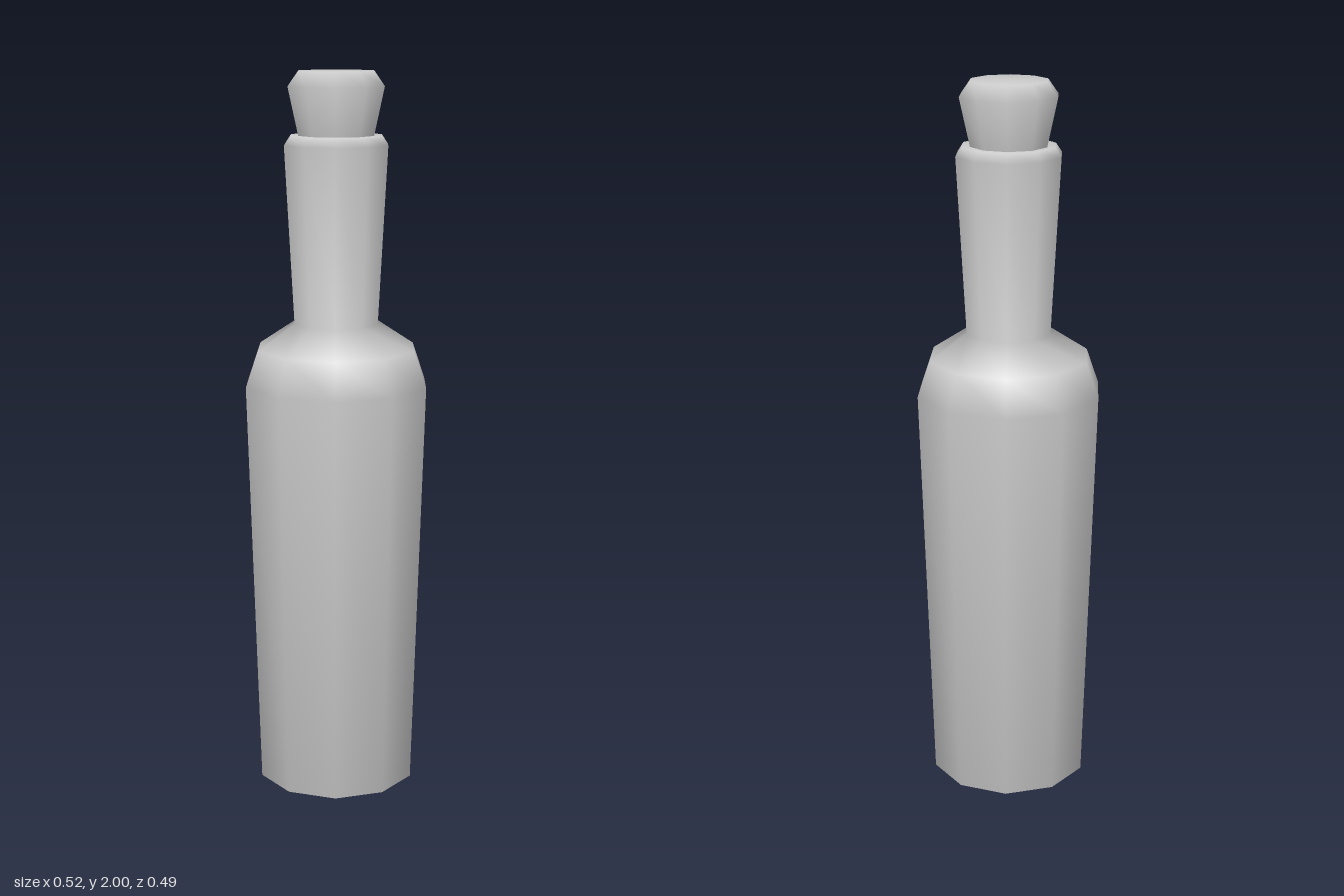
import * as THREE from 'three';

const SIDES = 10;

// Ten-sided smooth turned part from a bottom-to-top [radius, height] profile
function turned(name, profile, material) {
  const points = profile.map(([r, y]) => new THREE.Vector2(r, y));
  const mesh = new THREE.Mesh(new THREE.LatheGeometry(points, SIDES, Math.PI / 2), material);
  mesh.name = name;
  return mesh;
}

export function createModel() {
  const group = new THREE.Group();
  group.name = 'corkedBottle';
  const material = new THREE.MeshStandardMaterial({ color: 0xcccccc });

  // Bottle: base, tapered body, shoulder, flaring neck and chamfered lip
  group.add(turned('bottle', [
    [0, 0], [0.225, 0], [0.26, 1.15], [0.225, 1.25],
    [0.12, 1.32], [0.147, 1.805], [0.13, 1.83], [0.09, 1.83],
  ], material));

  // Stopper: flares upward, with a chamfered top
  group.add(turned('stopper', [
    [0.1, 1.79], [0.107, 1.83], [0.136, 1.96], [0.107, 2], [0, 2],
  ], material));

  return group;
}
